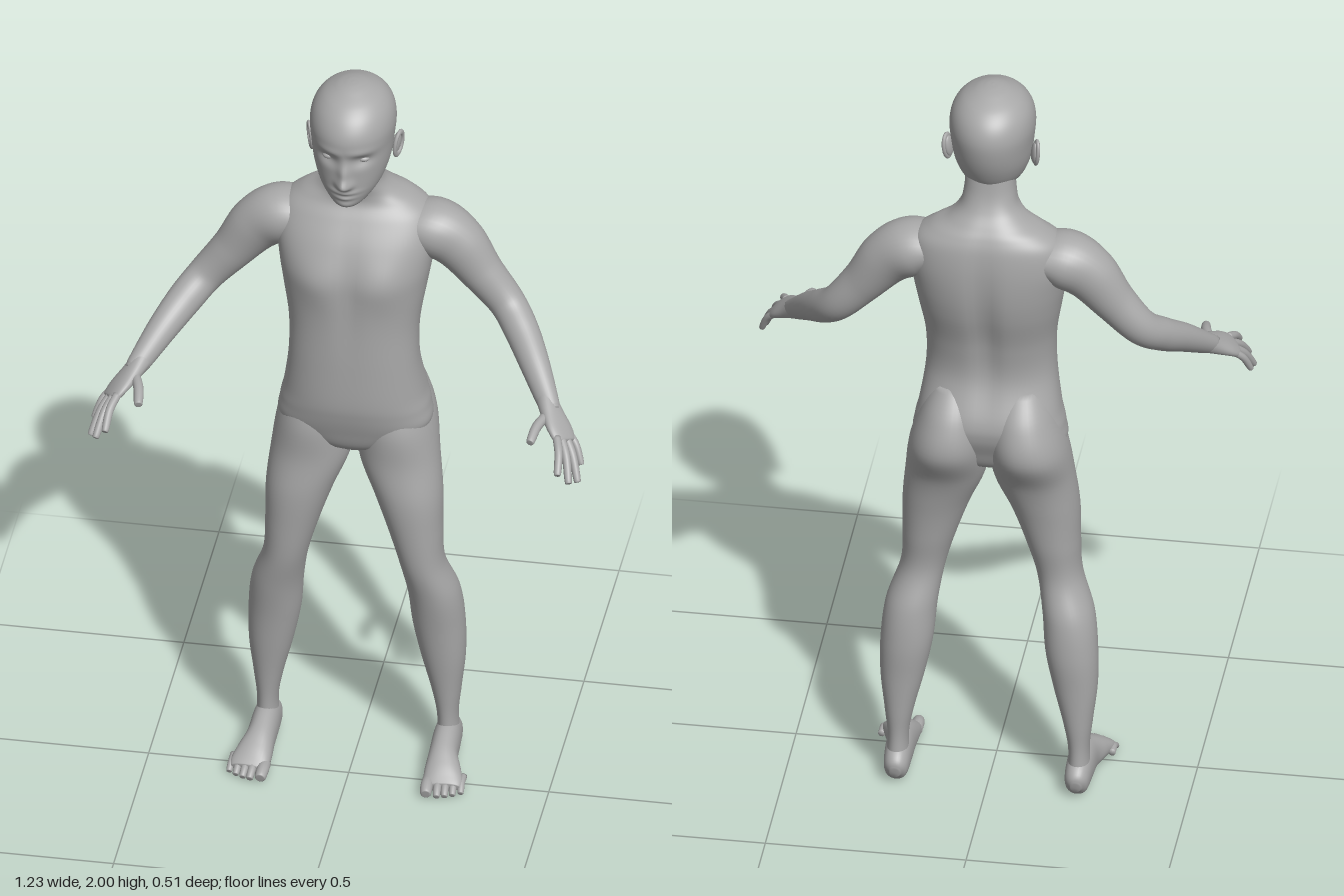
import * as THREE from 'three';

const skin = new THREE.MeshStandardMaterial({ color: 0xa8a8a8 });
skin.name = 'plain grey';

const bump = (d, s) => Math.exp(-(d * d) / (2 * s * s));

// Smooth skin through sections [x, y, z, a, b]; a runs along ref, b across it.
// Level sections stay horizontal, others turn with the path. side -1 mirrors x.
function loft(sections, { ref = [1, 0, 0], level = false, rows = 48, sides = 32, power = 1, side = 1, warp } = {}) {
  const path = new THREE.CatmullRomCurve3(sections.map(s => new THREE.Vector3(s[0], s[1], s[2])), false, 'catmullrom');
  const size = new THREE.CatmullRomCurve3(sections.map(s => new THREE.Vector3(s[3], s[4], 0)), false, 'catmullrom');
  const R = new THREE.Vector3(...ref);
  const pos = [], idx = [];
  const put = v => { if (warp) warp(v); pos.push(v.x * side, v.y, v.z); };
  const tri = (a, b, c) => side > 0 ? idx.push(a, b, c) : idx.push(a, c, b);
  const squash = c => Math.sign(c) * Math.abs(c) ** power;
  for (let i = 0; i <= rows; i++) {
    const t = i / rows, p = path.getPoint(t), s = size.getPoint(t);
    const T = level ? new THREE.Vector3(0, 1, 0) : path.getTangent(t);
    const U = R.clone().addScaledVector(T, -R.dot(T)).normalize();
    const V = T.clone().cross(U);
    for (let j = 0; j < sides; j++) {
      const q = j / sides * Math.PI * 2;
      put(p.clone().addScaledVector(U, Math.max(s.x, 0.001) * squash(Math.cos(q)))
        .addScaledVector(V, Math.max(s.y, 0.001) * squash(Math.sin(q))));
    }
  }
  for (let i = 0; i < rows; i++) for (let j = 0; j < sides; j++) {
    const k = (j + 1) % sides, a = i * sides, b = a + sides;
    tri(a + j, a + k, b + j);
    tri(a + k, b + k, b + j);
  }
  // End caps
  const first = (rows + 1) * sides, last = rows * sides;
  put(path.getPoint(0));
  put(path.getPoint(1));
  for (let j = 0; j < sides; j++) {
    const k = (j + 1) % sides;
    tri(first, k, j);
    tri(first + 1, last + j, last + k);
  }
  const g = new THREE.BufferGeometry();
  g.setAttribute('position', new THREE.Float32BufferAttribute(pos, 3));
  g.setIndex(idx);
  g.computeVertexNormals();
  return g;
}

// Round-ended finger or toe through three points
function digit(a, b, c, r, opts) {
  const e = c.map((v, i) => v + (c[i] - b[i]) * 0.06);
  return loft([[...a, r, r], [...b, r, r], [...c, r * 0.85, r * 0.85], [...e, r * 0.25, r * 0.25]],
    { rows: 18, sides: 14, ...opts });
}

const mix = (a, b, t) => a.map((v, i) => v + (b[i] - v) * t);

export function createModel() {
  const model = new THREE.Group();
  model.name = 'mannequin';
  const add = (name, geometry, parent = model) => {
    const m = new THREE.Mesh(geometry, skin);
    m.name = name;
    parent.add(m);
    return m;
  };
  const ball = (name, p, s, parent) => {
    const m = add(name, new THREE.SphereGeometry(1, 24, 16), parent);
    m.position.set(...p);
    m.scale.set(...s);
    return m;
  };

  // Torso and neck: y, half width, front z, back z
  const torso = [
    [0.92, 0.05, -0.05, -0.13], [0.95, 0.13, -0.015, -0.18], [1.0, 0.188, 0.005, -0.205],
    [1.05, 0.187, 0.02, -0.225], [1.1, 0.176, 0.028, -0.225], [1.2, 0.162, 0.03, -0.19],
    [1.3, 0.162, 0.03, -0.2], [1.4, 0.178, 0.03, -0.228], [1.47, 0.19, 0.024, -0.24],
    [1.54, 0.198, 0.0, -0.242], [1.6, 0.185, -0.035, -0.235], [1.635, 0.145, -0.058, -0.222],
    [1.66, 0.1, -0.06, -0.205], [1.69, 0.073, -0.052, -0.182], [1.73, 0.064, -0.045, -0.165],
    [1.79, 0.06, -0.045, -0.155]
  ].map(([y, w, f, b]) => [0, y, (f + b) / 2, w, (f - b) / 2]);
  add('torso', loft(torso, {
    level: true, rows: 96, sides: 72, power: 0.86,
    warp: v => {
      const x = Math.abs(v.x);
      if (v.z > -0.1) v.z += 0.012 * bump(x - 0.085, 0.045) * bump(v.y - 1.45, 0.045)
        - 0.006 * bump(x, 0.02) * bump(v.y - 1.42, 0.1);
      else v.z += 0.016 * bump(x, 0.022) * bump(v.y - 1.36, 0.15);
    }
  }));

  // Head: y, half width, front z, back z, with the face pushed out of the front
  const head = new THREE.Group();
  head.name = 'head';
  model.add(head);
  const skull = [
    [1.697, 0.022, 0.03, -0.03], [1.705, 0.04, 0.05, -0.07], [1.725, 0.06, 0.06, -0.11],
    [1.755, 0.08, 0.064, -0.15], [1.8, 0.095, 0.066, -0.178], [1.85, 0.102, 0.07, -0.196],
    [1.9, 0.106, 0.072, -0.202], [1.94, 0.098, 0.055, -0.19], [1.97, 0.077, 0.025, -0.162],
    [1.99, 0.045, -0.015, -0.12], [1.998, 0.02, -0.04, -0.09], [2.0, 0.002, -0.06, -0.065]
  ].map(([y, w, f, b]) => [0, y, (f + b) / 2, w, (f - b) / 2]);
  add('skull', loft(skull, {
    level: true, rows: 120, sides: 120,
    warp: v => {
      if (v.z < -0.01) return;
      const x = Math.abs(v.x), y = v.y;
      v.z += 0.024 * bump(x, 0.011) * bump(y - 1.78, 0.011)
        + 0.014 * bump(x, 0.01) * bump(y - 1.808, 0.02)
        + 0.006 * bump(x - 0.014, 0.007) * bump(y - 1.776, 0.007)
        - 0.013 * bump(x - 0.042, 0.018) * bump(y - 1.844, 0.012)
        + 0.004 * bump(x - 0.04, 0.025) * bump(y - 1.87, 0.008)
        + 0.008 * bump(x, 0.022) * bump(y - 1.754, 0.005)
        + 0.007 * bump(x, 0.018) * bump(y - 1.738, 0.005)
        + 0.007 * bump(x, 0.02) * bump(y - 1.715, 0.01);
    }
  }, head), head);

  for (const side of [1, -1]) {
    const word = side > 0 ? 'left' : 'right';
    const limb = name => {
      const g = new THREE.Group();
      g.name = word + name;
      model.add(g);
      return g;
    };

    // Eye and ear
    ball(word + 'Eye', [side * 0.042, 1.844, 0.035], [0.017, 0.009, 0.014], head);
    const ear = new THREE.Group();
    ear.name = word + 'Ear';
    ear.position.set(side * 0.106, 1.82, -0.082);
    ear.rotation.set(-0.15, side * -0.35, side * -0.12);
    head.add(ear);
    ball('earBowl', [0, 0, 0], [0.008, 0.03, 0.017], ear);
    const rim = add('earRim', new THREE.TorusGeometry(0.018, 0.005, 10, 28), ear);
    rim.rotation.y = Math.PI / 2;
    rim.scale.set(1, 1.7, 1);
    rim.position.x = side * 0.005;

    // Arm
    const arm = limb('Arm');
    add('arm', loft([
      [0.12, 1.565, -0.135, 0.07, 0.045], [0.19, 1.55, -0.132, 0.08, 0.072], [0.25, 1.512, -0.13, 0.066, 0.07],
      [0.31, 1.435, -0.126, 0.052, 0.055], [0.375, 1.358, -0.115, 0.044, 0.046], [0.42, 1.31, -0.068, 0.041, 0.044],
      [0.465, 1.26, 0.0, 0.035, 0.038], [0.512, 1.2, 0.075, 0.025, 0.028], [0.525, 1.187, 0.095, 0.022, 0.022]
    ], { ref: [0, 0, 1], rows: 64, side }), arm);

    // Hand
    const spread = [-0.03, 0.015, 0.055];
    add('palm', loft([
      [0.502, 1.21, 0.062, 0.024, 0.025], [0.525, 1.187, 0.098, 0.032, 0.021],
      [0.55, 1.165, 0.132, 0.039, 0.016], [0.566, 1.148, 0.153, 0.035, 0.012], [0.57, 1.144, 0.158, 0.02, 0.006]
    ], { ref: spread, rows: 28, power: 0.9, side }), arm);
    const tips = [[0.608, 1.085, 0.155], [0.607, 1.067, 0.205], [0.59, 1.08, 0.235], [0.565, 1.108, 0.248]];
    tips.forEach((tip, i) => {
      const base = mix([0.569, 1.151, 0.119], [0.549, 1.162, 0.167], i / 3);
      const bend = mix(base, tip, 0.5);
      bend[1] += 0.007;
      bend[0] += 0.004;
      add('finger', digit(base, bend, tip, i ? 0.0105 : 0.009, { ref: spread, side }), arm);
    });
    add('thumb', digit([0.518, 1.187, 0.1], [0.498, 1.182, 0.158], [0.49, 1.167, 0.205], 0.0125, { ref: [1, 0, 0], side }), arm);

    // Leg
    const leg = limb('Leg');
    add('leg', loft([
      [0.226, 0.04, -0.135, 0.03, 0.046], [0.225, 0.12, -0.132, 0.026, 0.043], [0.222, 0.2, -0.13, 0.037, 0.05],
      [0.215, 0.3, -0.125, 0.055, 0.06], [0.205, 0.4, -0.12, 0.065, 0.07], [0.195, 0.5, -0.105, 0.064, 0.075],
      [0.17, 0.6, -0.08, 0.056, 0.07], [0.153, 0.7, -0.08, 0.068, 0.08], [0.135, 0.8, -0.085, 0.085, 0.09],
      [0.11, 0.9, -0.102, 0.1, 0.1], [0.1, 1.0, -0.127, 0.096, 0.127], [0.09, 1.09, -0.13, 0.078, 0.108],
      [0.085, 1.17, -0.12, 0.05, 0.065]
    ], { level: true, rows: 80, sides: 40, power: 0.95, side }), leg);

    // Foot, flat underneath
    const flat = v => { v.y = Math.max(v.y, 0); };
    add('foot', loft([
      [0.225, 0.036, -0.194, 0.012, 0.015], [0.225, 0.042, -0.175, 0.029, 0.04], [0.226, 0.052, -0.12, 0.034, 0.055],
      [0.228, 0.045, -0.05, 0.036, 0.048], [0.235, 0.034, 0.0, 0.045, 0.035], [0.241, 0.023, 0.035, 0.049, 0.022],
      [0.243, 0.018, 0.054, 0.043, 0.013]
    ], { rows: 40, power: 0.92, side, warp: flat }), leg);
    for (let i = 0; i < 5; i++) {
      const r = i ? 0.0105 - i * 0.0004 : 0.0155;
      const x = i ? 0.213 + i * 0.0185 : 0.205, z = 0.084 - i * i * 0.0018;
      add('toe', digit([x, 0.022, z - 0.055], [x, 0.022, z - 0.025], [x + 0.002, r, z], r, { side, warp: flat }), leg);
    }
  }
  return model;
}
